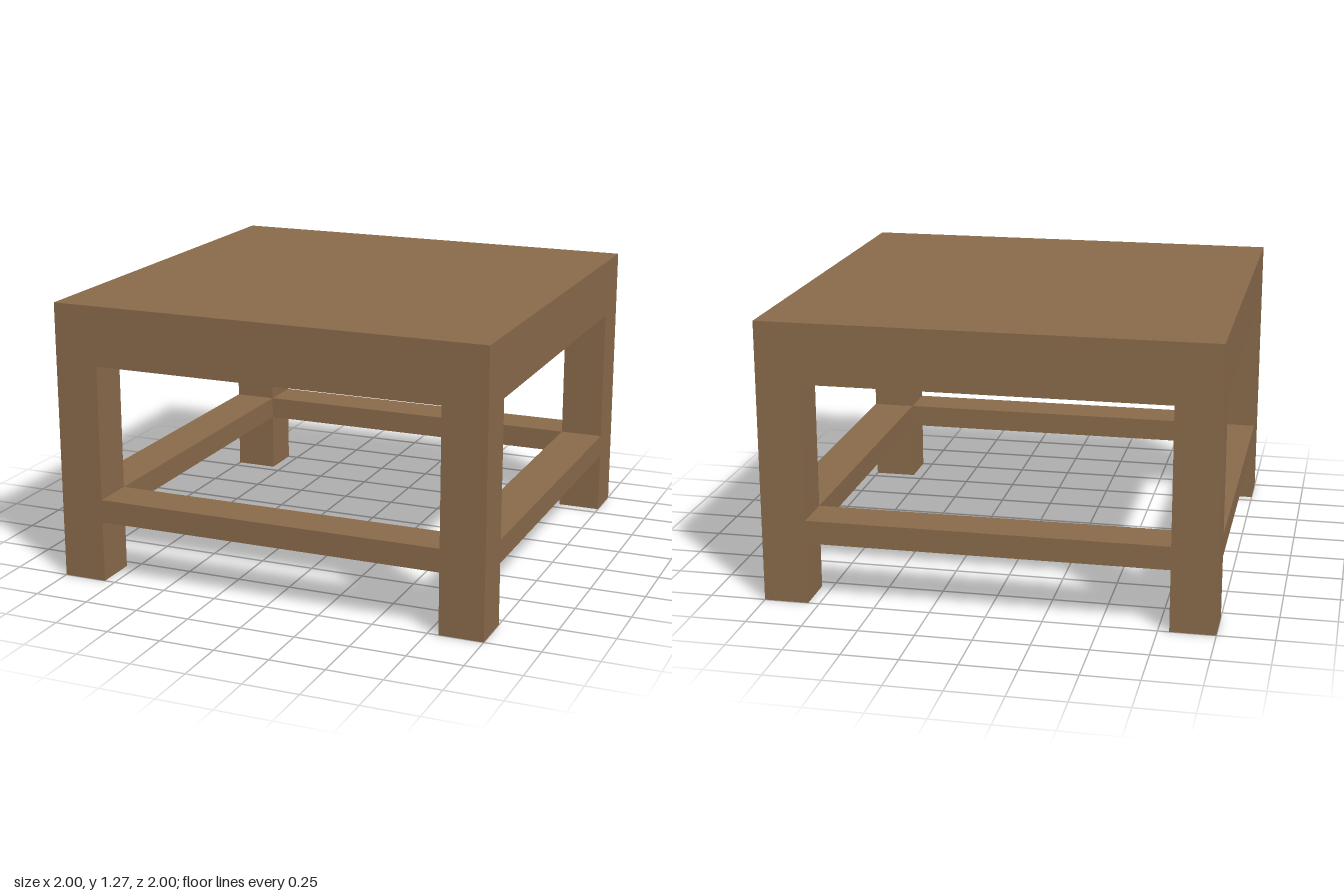
import * as THREE from 'three';

export function createModel() {
  const model = new THREE.Group();
  model.name = 'table';
  const wood = new THREE.MeshStandardMaterial({ color: 0x8a6b4b });
  wood.name = 'brown wood';

  const LEG = 0.2, UNDERSIDE = 1.0, TOP = 1.27;
  const RAIL_LOW = 0.28, RAIL_HIGH = 0.385;
  const offset = 1 - LEG / 2;
  const span = 2 - 2 * LEG;

  // Box standing on y0 and ending at y1
  function addBox(name, width, depth, y0, y1, x, z) {
    const mesh = new THREE.Mesh(new THREE.BoxGeometry(width, y1 - y0, depth), wood);
    mesh.name = name;
    mesh.position.set(x, (y0 + y1) / 2, z);
    model.add(mesh);
  }

  // Thick square top
  addBox('tableTop', 2, 2, UNDERSIDE, TOP, 0, 0);

  // Four corner legs, flush with the top
  for (const [side, sx] of [['Left', 1], ['Right', -1]]) {
    for (const [end, sz] of [['front', 1], ['back', -1]]) {
      addBox(`${end}${side}Leg`, LEG, LEG, 0, UNDERSIDE, sx * offset, sz * offset);
    }
  }

  // Stretchers between the legs, as deep as the legs
  for (const [end, s] of [['front', 1], ['back', -1]]) {
    addBox(`${end}Stretcher`, span, LEG, RAIL_LOW, RAIL_HIGH, 0, s * offset);
  }
  for (const [side, s] of [['left', 1], ['right', -1]]) {
    addBox(`${side}Stretcher`, LEG, span, RAIL_LOW, RAIL_HIGH, s * offset, 0);
  }

  return model;
}
